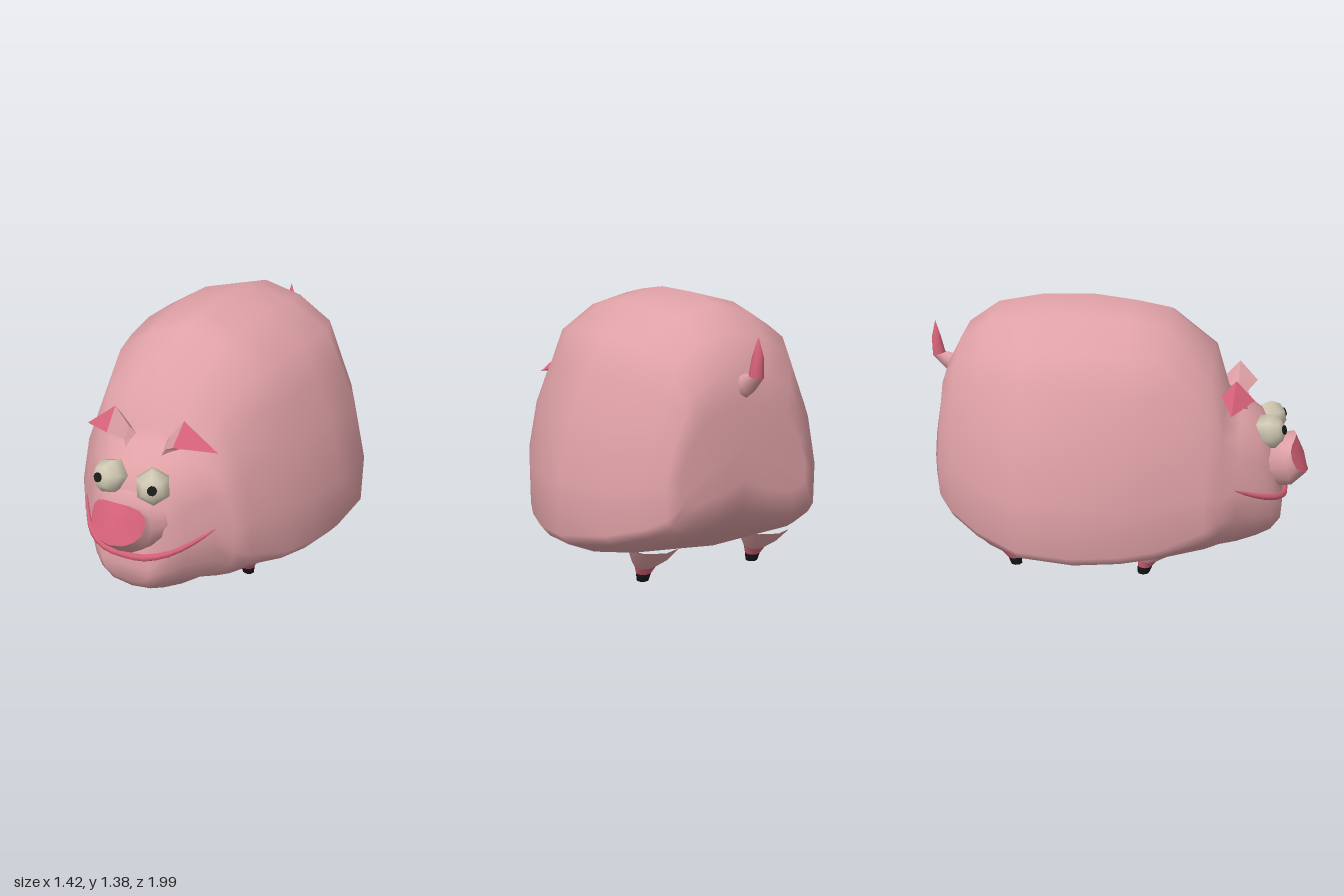
import * as THREE from 'three';

const V = (x, y, z) => new THREE.Vector3(x, y, z);
const material = (name, color) => Object.assign(new THREE.MeshStandardMaterial({ color }), { name });
const spow = (v, p) => Math.sign(v) * Math.abs(v) ** p;

// Ellipse of points around c, facing along dir (in the yz plane); p < 1 squares it
function ring(c, dir, rx, rv, n = 8, p = 1) {
  const v = dir.clone().normalize().cross(V(1, 0, 0));
  return Array.from({ length: n }, (_, i) => {
    const a = (i / n) * Math.PI * 2;
    return c.clone().add(V(spow(Math.cos(a), p) * rx, 0, 0)).addScaledVector(v, spow(Math.sin(a), p) * rv);
  });
}

// Skin a list of rings; optional end points close the two ends
function loft(rings, startPoint, endPoint) {
  const n = rings[0].length, pts = rings.flat(), idx = [];
  for (let i = 0; i < rings.length - 1; i++) {
    for (let j = 0; j < n; j++) {
      const k = (j + 1) % n, a = i * n + j, b = i * n + k;
      idx.push(a, b, b + n, a, b + n, a + n);
    }
  }
  const cap = (p, base, flip) => {
    const c = pts.push(p) - 1;
    for (let j = 0; j < n; j++) {
      const a = base + j, b = base + (j + 1) % n;
      flip ? idx.push(c, b, a) : idx.push(c, a, b);
    }
  };
  const last = (rings.length - 1) * n;
  if (startPoint) cap(startPoint, 0, true);
  if (endPoint) cap(endPoint, last, false);
  const g = new THREE.BufferGeometry().setFromPoints(pts);
  g.setIndex(idx);
  g.computeVertexNormals();
  return g;
}

// Copy of a geometry reflected across x = 0
function mirrored(geometry) {
  const g = geometry.clone().scale(-1, 1, 1);
  g.setIndex(Array.from(g.index.array).reverse());
  g.computeVertexNormals();
  return g;
}

// Separate the faces so that each one is flat
function facet(geometry) {
  const g = geometry.toNonIndexed();
  g.setIndex([...Array(g.attributes.position.count).keys()]);
  g.computeVertexNormals();
  return g;
}

// Half outlines from bottom to top: fraction of half width, fraction of height
const TRUNK = [[0, 0], [0.37, 0.025], [0.74, 0.045], [0.93, 0.09], [0.995, 0.13], [1, 0.33],
  [0.9, 0.565], [0.77, 0.72], [0.655, 0.855], [0.35, 0.955], [0, 1]];
const HEAD = [[0, 0], [0.5, 0.03], [0.8, 0.13], [0.95, 0.27], [1, 0.41], [0.99, 0.5],
  [0.9, 0.71], [0.77, 0.84], [0.55, 0.93], [0.28, 0.985], [0, 1]];

// Cross-section of the body at z, turning from trunk to head at the neck
function bodyRing([z, bottom, top, width]) {
  const t = THREE.MathUtils.clamp((z - 0.45) / 0.2, 0, 1);
  const half = TRUNK.map(([tx, ty], i) => {
    const fx = THREE.MathUtils.lerp(tx, HEAD[i][0], t), fy = THREE.MathUtils.lerp(ty, HEAD[i][1], t);
    // Cleft between the haunches
    const cleft = i < 3 ? Math.max(0, -z - 0.55) * 0.3 * Math.max(0, 1 - fx / 0.6) : 0;
    return V(width * fx, bottom + (top - bottom) * fy + cleft, z);
  });
  return [...half, ...half.slice(1, -1).reverse().map((p) => V(-p.x, p.y, p.z))];
}

export function createModel() {
  const skin = material('skin', 0xdfa1a6);
  const rose = material('rose', 0xd9637a);
  const eyeWhite = material('eyeWhite', 0xd0c8b2);
  const black = material('black', 0x1b1b1b);
  const model = new THREE.Group();
  model.name = 'pig';
  const add = (name, geometry, mat) => {
    const m = new THREE.Mesh(geometry, mat);
    m.name = name;
    model.add(m);
    return m;
  };
  const addPair = (name, geometry, mat) => {
    add(name + 'Left', geometry, mat);
    add(name + 'Right', mirrored(geometry), mat);
  };

  // Body and head: z, bottom, top, half width
  const sections = [
    [-0.89, 0.44, 0.9, 0.34], [-0.86, 0.3, 1.07, 0.4], [-0.78, 0.22, 1.22, 0.48],
    [-0.62, 0.14, 1.33, 0.59], [-0.39, 0.09, 1.375, 0.712], [-0.12, 0.055, 1.385, 0.69],
    [0.1, 0.06, 1.36, 0.64], [0.27, 0.08, 1.33, 0.58], [0.5, 0.11, 1.15, 0.485],
    [0.57, 0.12, 0.92, 0.43], [0.65, 0.125, 0.875, 0.36], [0.75, 0.15, 0.81, 0.275],
    [0.82, 0.18, 0.68, 0.21], [0.868, 0.24, 0.42, 0.13],
  ];
  add('body', loft(sections.map(bodyRing), V(0, 0.7, -0.868), V(0, 0.33, 0.875)), skin);

  // Snout: fleshy muzzle blending out of the cheeks, with a curved nose plate
  const noseDir = V(0, 0.35, 0.94).normalize();
  const noseRing = (rx, rv) => ring(V(0, 0.595, 0.964), noseDir, rx, rv, 16, 0.8)
    .map((q) => q.add(V(0, 0, -0.05 * (q.x / 0.145) ** 2)));
  const noseRim = noseRing(0.145, 0.1);
  add('muzzle', loft([
    ring(V(0, 0.57, 0.64), V(0, 0, 1), 0.3, 0.2, 16),
    ring(V(0, 0.565, 0.75), V(0, 0.1, 1), 0.23, 0.16, 16, 0.95),
    ring(V(0, 0.56, 0.83), V(0, 0.2, 1), 0.185, 0.142, 16, 0.9),
    ring(V(0, 0.557, 0.887), V(0, 0.25, 1), 0.157, 0.132, 16, 0.85),
    noseRim,
  ]), skin);
  add('nose', loft([noseRim, noseRing(0.095, 0.07)], null, V(0, 0.598, 0.972)), rose);

  // Smiling lip that wraps around the front of the head
  const half = [[0.11, 0.397, 0.875], [0.213, 0.42, 0.823], [0.293, 0.456, 0.74], [0.364, 0.504, 0.645]];
  const path = [...half.map(([x, y, z]) => V(-x, y, z)).reverse(), V(0, 0.391, 0.884), ...half.map((p) => V(...p))];
  const curve = new THREE.CatmullRomCurve3(path);
  const lipRings = Array.from({ length: 17 }, (_, i) => {
    const t = i / 16, p = curve.getPoint(t), out = curve.getTangent(t).cross(V(0, 1, 0)).normalize();
    const r = 0.003 + 0.017 * Math.sqrt(Math.sin(Math.PI * t));
    return Array.from({ length: 6 }, (_, j) => {
      const a = (j / 6) * Math.PI * 2;
      return p.clone().add(V(0, Math.cos(a) * r, 0)).addScaledVector(out, Math.sin(a) * r * 0.8);
    });
  });
  add('lip', loft(lipRings, path[0], path[path.length - 1]), rose);

  // Eyes with pupils, each with its own gaze
  for (const [name, side, gazeX] of [['Left', 1, 0.04], ['Right', -1, -0.022]]) {
    const center = V(0.114 * side, 0.735, 0.785);
    const gaze = V(gazeX, 0.02, 0.075).normalize();
    const turn = new THREE.Quaternion().setFromUnitVectors(V(0, 1, 0), gaze);
    const eye = add('eye' + name, new THREE.SphereGeometry(0.09, 6, 5), eyeWhite);
    eye.position.copy(center);
    eye.quaternion.copy(turn);
    const pupil = add('pupil' + name, new THREE.CylinderGeometry(0.023, 0.023, 0.009, 10), black);
    pupil.position.copy(center).addScaledVector(gaze, 0.087);
    pupil.quaternion.copy(turn);
  }

  // Ears: narrow stalk opening to a pointed, drooping tip
  const earRoot = [V(0.07, 0.87, 0.6), V(0.08, 0.81, 0.69), V(0.13, 0.79, 0.62), V(0.1, 0.84, 0.54)];
  const earStalk = [V(0.115, 0.925, 0.62), V(0.115, 0.875, 0.67), V(0.15, 0.86, 0.62), V(0.125, 0.885, 0.565)];
  const earWide = [V(0.188, 1.015, 0.62), V(0.18, 0.915, 0.715), V(0.2, 0.885, 0.63), V(0.19, 0.935, 0.55)];
  addPair('earBase', facet(loft([earRoot, earStalk, earWide])), skin);
  addPair('earTip', facet(loft([earWide], null, V(0.36, 0.885, 0.61))), rose);

  // Legs: skin cone, rose ankle and black hoof, flaring away from the belly
  const up = V(0, 1, 0);
  for (const [name, z, flare] of [['front', 0.185, 1], ['back', -0.49, -1]]) {
    const at = (y, r) => ring(V(0.318, y, z + flare * (r - 0.03)), up, r, r, 8);
    const hoofTop = at(0.04, 0.038), ankleTop = at(0.08, 0.054);
    addPair(name + 'Hoof', loft([at(0, 0.03), hoofTop], V(0.318, 0, z)), black);
    addPair(name + 'Ankle', loft([hoofTop, ankleTop]), rose);
    addPair(name + 'Leg', loft([ankleTop, at(0.125, 0.09), at(0.2, 0.13)]), skin);
  }

  // Tail: short stub with an upturned pointed tip
  const bend = ring(V(0, 1.035, -0.96), V(0, 1, -0.25), 0.034, 0.036);
  add('tailBase', loft([
    ring(V(0, 0.97, -0.83), V(0, 0.3, -1), 0.045, 0.065),
    ring(V(0, 0.995, -0.9), V(0, 0.5, -1), 0.037, 0.05),
    bend,
  ]), skin);
  add('tailTip', loft([bend, ring(V(0, 1.12, -0.97), up, 0.028, 0.026)], null, V(0, 1.215, -0.972)), rose);

  return model;
}
